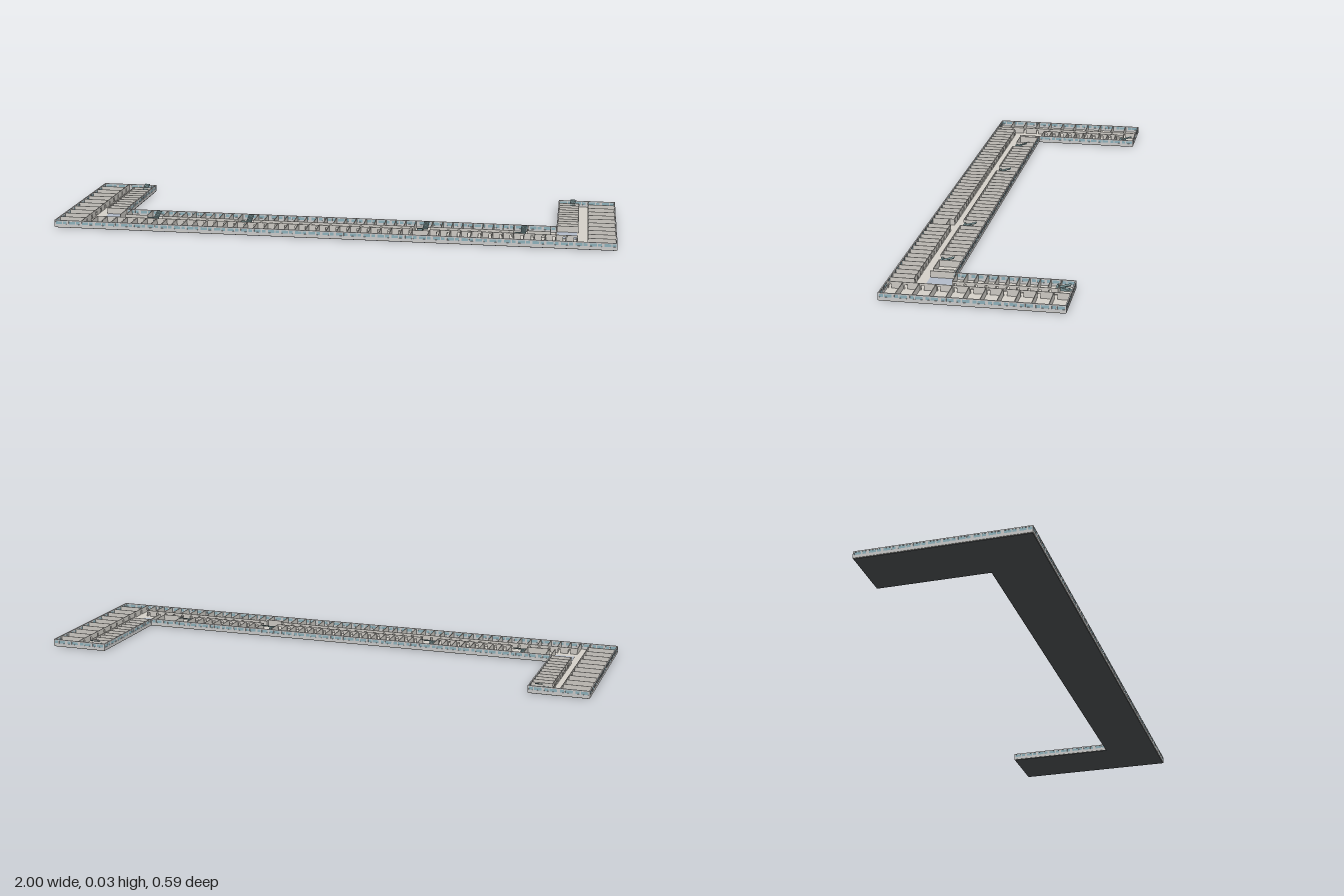
import * as THREE from 'three';
import { mergeGeometries } from 'three/addons/utils/BufferGeometryUtils.js';

const FLOOR = 0.004, TOP = 0.027, SILL = 0.013, HEAD = 0.023;
const X = 1, Z = 0.297, INNER = 0.79, BACK = 0.097;   // U-shaped footprint
const COLORS = {
  outerWalls: 0xcccccc, partitions: 0xcfccc6, windowPanes: 0x8fb2bc,
  stairs: 0x7d9799, lobbyFloors: 0xb4bdca,
};

export function createModel() {
  const model = new THREE.Group();
  const parts = {};

  const box = (part, x0, x1, y0, y1, z0, z1) => {
    const g = new THREE.BoxGeometry(x1 - x0, y1 - y0, z1 - z0);
    g.translate((x0 + x1) / 2, (y0 + y1) / 2, (z0 + z1) / 2);
    (parts[part] ??= []).push(g);
  };

  // Straight wall piece: axis 'x' or 'z', from a to b, centred on line c
  const wall = (part, axis, a, b, c, t = 0.0024, y0 = FLOOR, y1 = TOP) => {
    if (axis === 'x') box(part, a, b, y0, y1, c - t / 2, c + t / 2);
    else box(part, c - t / 2, c + t / 2, y0, y1, a, b);
  };

  // Outer wall with a ribbon of alternating wide and narrow windows
  const windowWall = (axis, a, b, c) => {
    const t = 0.004, n = Math.max(1, Math.round((b - a) / 0.049)), step = (b - a) / n;
    wall('outerWalls', axis, a, b, c, t, FLOOR, SILL);
    wall('outerWalls', axis, a, b, c, t, HEAD, TOP);
    wall('windowPanes', axis, a, b, c, 0.0016, SILL, HEAD);
    for (let i = 0; i < n; i++) {
      const s = a + i * step;
      for (const [u, v] of [[0, 0.1], [0.58, 0.66], [0.92, 1]])
        wall('outerWalls', axis, s + u * step, s + v * step, c, t, SILL, HEAD);
    }
  };

  // Corridor wall with one doorway per room
  const doorWall = (axis, a, b, c, pitch) => {
    const n = Math.max(1, Math.round((b - a) / pitch)), step = (b - a) / n, door = 0.009;
    wall('partitions', axis, a, b, c, 0.0024, 0.02, TOP);
    for (let i = 0; i < n; i++) {
      const s = a + i * step;
      wall('partitions', axis, s, s + step - door - 0.004, c, 0.0024, FLOOR, 0.02);
      wall('partitions', axis, s + step - 0.004, s + step, c, 0.0024, FLOOR, 0.02);
    }
  };

  // Evenly spaced cross walls between two lines
  const crossWalls = (axis, from, to, pitch, a, b) => {
    const n = Math.round((to - from) / pitch);
    for (let i = 0; i <= n; i++) wall('partitions', axis, a, b, from + (to - from) * i / n);
  };

  // Two-flight stair with landing; the upper flight rises above the walls
  const stair = (x, zTop) => {
    const n = 10, run = 0.043, d = run / n, w = 0.019;
    for (let i = 0; i < n; i++) {
      const z0 = zTop + i * d, low = FLOOR + (i + 1) * 0.00125, high = 0.033 - i * 0.00125;
      box('stairs', x - w - 0.001, x - 0.001, FLOOR, low, z0, z0 + d);
      box('stairs', x + 0.001, x + w + 0.001, high - 0.002, high, z0, z0 + d);
    }
    box('stairs', x - w - 0.001, x + w + 0.001, 0.0165, 0.0195, zTop + run, zTop + run + 0.006);
  };

  // Slab: dark base slightly inset below a pale floor
  const slab = (name, inset, y0, y1, color) => {
    const x = X - inset, z = Z - inset, i = INNER + inset, b = BACK + inset;
    const shape = new THREE.Shape([[-x, -z], [-i, -z], [-i, b], [i, b], [i, -z], [x, -z], [x, z], [-x, z]]
      .map(([px, pz]) => new THREE.Vector2(px, -pz)));
    const g = new THREE.ExtrudeGeometry(shape, { depth: y1 - y0, bevelEnabled: false });
    g.rotateX(-Math.PI / 2).translate(0, y0, 0);
    const mesh = new THREE.Mesh(g, new THREE.MeshStandardMaterial({ color }));
    mesh.name = name;
    model.add(mesh);
  };
  slab('baseSlab', 0.002, 0, 0.0025, 0x54585b);
  slab('floor', 0, 0.0025, FLOOR, 0xd6d2ca);

  // Long outer walls of the main block
  const h = 0.002;
  windowWall('x', -X, X, Z - h);
  windowWall('x', -INNER, INNER, BACK + h);

  // Main corridor and its front and back rooms
  doorWall('x', -0.865, 0.29, 0.215, 0.037);
  doorWall('x', 0.35, 0.865, 0.215, 0.037);
  crossWalls('z', -0.865, 0.29, 0.037, 0.215, Z - 0.004);
  crossWalls('z', 0.35, 0.865, 0.037, 0.215, Z - 0.004);
  wall('partitions', 'x', 0.29, 0.35, 0.232);
  const zb = BACK + 0.004;
  for (const [a, b] of [[-0.63, -0.35], [-0.29, 0.29], [0.35, 0.64]]) {
    doorWall('x', a, b, 0.18, 0.037);
    crossWalls('z', a, b, 0.037, zb, 0.18);
  }

  for (const s of [-1, 1]) {
    const span = (a, b) => (s > 0 ? [a, b] : [-b, -a]);

    // Wing outer walls
    windowWall('z', -Z, Z, s * (X - h));
    windowWall('z', -Z, BACK, s * (INNER + h));
    windowWall('x', ...span(INNER, X), -Z + h);

    // Wing corridor with large outer rooms and small inner rooms
    doorWall('z', -Z + 0.004, Z - 0.004, s * 0.9, 0.053);
    crossWalls('x', -Z + 0.055, Z - 0.055, 0.053, ...span(0.9, 0.996));
    doorWall('z', -0.25, 0.09, s * 0.866, 0.033);
    crossWalls('x', -0.25, 0.09, 0.033, ...span(0.794, 0.866));

    // Corner lobby and the service room beside it
    const [l0, l1] = span(0.792, 0.862);
    box('lobbyFloors', l0, l1, FLOOR, FLOOR + 0.001, 0.092, 0.18);
    wall('partitions', 'x', ...span(0.69, 0.77), 0.175);
    for (const x of [0.69, 0.77]) wall('partitions', 'z', zb, 0.175, s * x);
    wall('partitions', 'z', zb, 0.18, s * 0.79);

    // Staircases
    for (const x of [0.32, 0.666]) stair(s * x, 0.127);
    stair(s * 0.832, -0.287);
  }

  for (const [name, list] of Object.entries(parts)) {
    const mesh = new THREE.Mesh(mergeGeometries(list),
      new THREE.MeshStandardMaterial({ color: COLORS[name] }));
    mesh.name = name;
    model.add(mesh);
  }
  return model;
}
